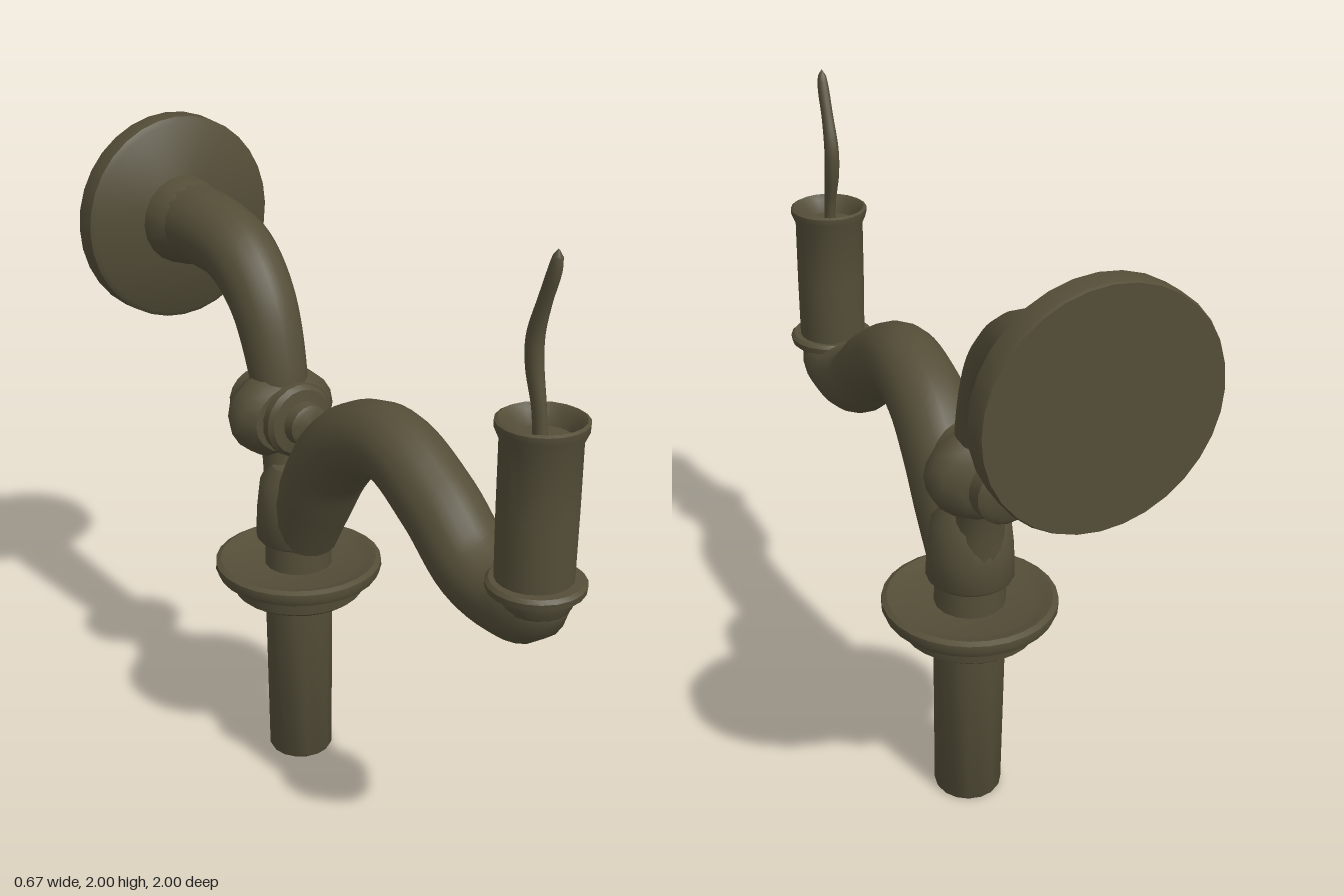
import * as THREE from 'three';
import { toCreasedNormals } from 'three/addons/utils/BufferGeometryUtils.js';

const bronze = new THREE.MeshStandardMaterial({ color: 0x544e38 });
bronze.name = 'darkBronze';

const CREASE = 0.7;

function part(name, geometry) {
  const mesh = new THREE.Mesh(toCreasedNormals(geometry, CREASE), bronze);
  mesh.name = name;
  return mesh;
}

// Turned part; profile is [radius, height] from bottom to top
function turned(name, profile, segments = 28) {
  return part(name, new THREE.LatheGeometry(profile.map(([r, y]) => new THREE.Vector2(r, y)), segments));
}

// Bent pipe in the x = 0 plane; points are [z, y, radius]
function bentPipe(name, points, tubular = 36, radial = 18) {
  const curve = new THREE.CatmullRomCurve3(points.map(([z, y]) => new THREE.Vector3(0, y, z)));
  const radii = new THREE.CatmullRomCurve3(points.map(([, , r], i) => new THREE.Vector3(i, r, 0)));
  const geometry = new THREE.TubeGeometry(curve, tubular, 1, radial);
  const pos = geometry.attributes.position;
  const v = new THREE.Vector3();
  for (let i = 0; i <= tubular; i++) {
    const u = i / tubular;
    const centre = curve.getPointAt(u);
    const r = radii.getPoint(curve.getUtoTmapping(u)).y;
    for (let j = 0; j <= radial; j++) {
      const k = i * (radial + 1) + j;
      v.fromBufferAttribute(pos, k).sub(centre).multiplyScalar(r).add(centre);
      pos.setXYZ(k, v.x, v.y, v.z);
    }
  }
  return part(name, geometry);
}

export function createModel() {
  const model = new THREE.Group();
  model.name = 'bracketLamp';

  // Stem, double flange and socket on one vertical axis
  const column = new THREE.Group();
  column.name = 'column';
  column.position.z = -0.255;
  column.add(
    turned('stem', [[0, 0], [0.1, 0], [0.105, 0.01], [0.11, 0.6], [0.106, 0.82], [0, 0.82]], 16),
    turned('flange', [[0, 0.59], [0.195, 0.59], [0.207, 0.6], [0.212, 0.64], [0.235, 0.65], [0.258, 0.66],
      [0.267, 0.68], [0.266, 0.7], [0.25, 0.708], [0.225, 0.7], [0.2, 0.69], [0, 0.69]]),
    turned('socket', [[0, 0.78], [0.128, 0.78], [0.134, 0.79], [0.13, 0.88], [0.118, 0.98], [0.08, 1.03], [0, 1.04]], 20),
  );
  model.add(column);

  // Curved arms
  model.add(
    bentPipe('frontArm', [[0.87, 1.08, 0.095], [0.84, 1.02, 0.11], [0.75, 1.0, 0.11], [0.61, 1.035, 0.115],
      [0.45, 1.16, 0.117], [0.24, 1.263, 0.115], [0.06, 1.215, 0.12], [-0.06, 1.11, 0.125],
      [-0.15, 0.96, 0.122], [-0.22, 0.81, 0.11]], 48),
    bentPipe('rearArm', [[-0.28, 0.82, 0.1], [-0.315, 1.0, 0.075], [-0.335, 1.14, 0.08], [-0.355, 1.3, 0.092],
      [-0.435, 1.515, 0.105], [-0.56, 1.635, 0.115], [-0.72, 1.67, 0.122], [-0.92, 1.67, 0.13]], 48),
  );

  // Wall mount, turned around the z axis
  const mount = new THREE.Group();
  mount.name = 'wallMount';
  mount.add(
    turned('wallPlate', [[0, -0.995], [0.328, -0.995], [0.333, -0.985], [0.33, -0.92], [0.315, -0.908], [0, -0.9]], 32),
    turned('wallCollar', [[0.145, -0.93], [0.143, -0.9], [0.128, -0.81], [0.115, -0.79]], 20),
  );
  mount.position.y = 1.668;
  mount.rotation.x = Math.PI / 2;
  model.add(mount);

  // Clamp joint with a knob behind and a nut in front
  const joint = new THREE.Group();
  joint.name = 'clampJoint';
  joint.add(
    turned('rearKnob', [[0, -0.51], [0.075, -0.51], [0.095, -0.495], [0.1, -0.45], [0.085, -0.43], [0.085, -0.38]], 18),
    turned('frontNut', [[0.115, -0.3], [0.118, -0.24], [0.105, -0.225], [0.07, -0.22], [0.066, -0.185], [0.055, -0.177], [0, -0.177]], 18),
  );
  const disc = turned('clampDisc', [[0, -0.43], [0.11, -0.43], [0.16, -0.4], [0.18, -0.36], [0.175, -0.31], [0.14, -0.27], [0, -0.26]], 20);
  disc.scale.z = 0.8;
  joint.add(disc);
  joint.position.y = 1.18;
  joint.rotation.x = Math.PI / 2;
  model.add(joint);

  // Candle cup, hollow candle sleeve and flame-shaped wick
  const candle = new THREE.Group();
  candle.name = 'candle';
  candle.position.z = 0.855;
  const cup = turned('cup', [[0, 0.99], [0.075, 1.0], [0.1, 1.03], [0.108, 1.065], [0.135, 1.075], [0.138, 1.095], [0.128, 1.105], [0, 1.105]], 20);
  cup.position.z = 0.008;
  candle.add(
    cup,
    turned('sleeve', [[0.108, 1.09], [0.11, 1.3], [0.11, 1.5], [0.123, 1.53], [0.124, 1.55], [0.115, 1.555],
      [0.098, 1.54], [0.085, 1.5], [0, 1.49]], 20),
  );
  model.add(candle);

  const wick = bentPipe('wick', [[0.85, 1.48, 0.022], [0.838, 1.58, 0.022], [0.815, 1.68, 0.027], [0.812, 1.76, 0.027],
    [0.84, 1.86, 0.022], [0.868, 1.94, 0.021], [0.878, 1.985, 0.014], [0.879, 2.0, 0.001]], 28, 10);
  wick.scale.x = 0.85;
  model.add(wick);

  return model;
}
